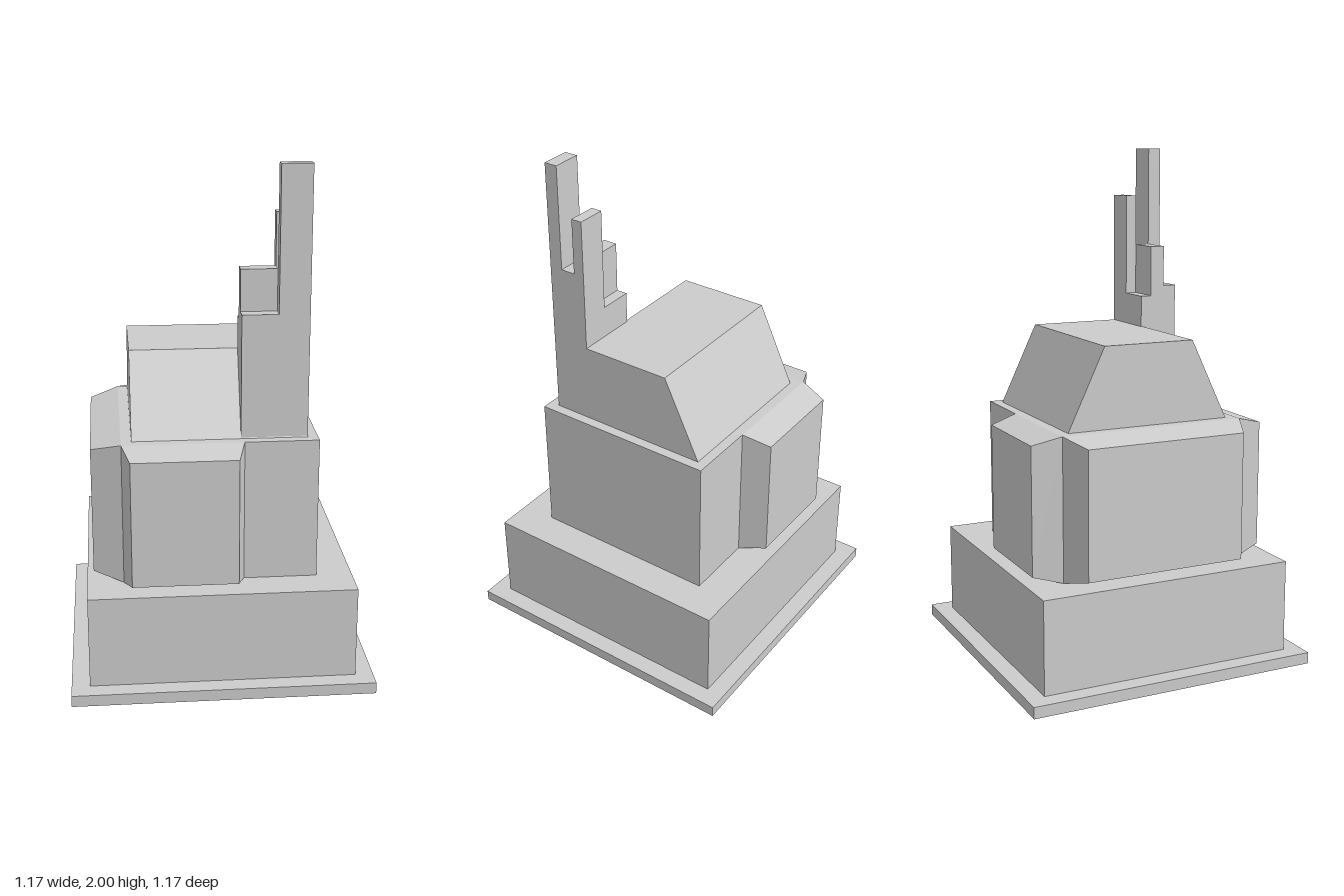
import * as THREE from 'three';

const material = new THREE.MeshStandardMaterial({ color: 0xcccccc, flatShading: true });

function add(parent, name, geometry) {
  const mesh = new THREE.Mesh(geometry, material);
  mesh.name = name;
  parent.add(mesh);
  return mesh;
}

// Box given by its minimum and maximum corners
function addBlock(parent, name, [x0, y0, z0], [x1, y1, z1]) {
  const mesh = add(parent, name, new THREE.BoxGeometry(x1 - x0, y1 - y0, z1 - z0));
  mesh.position.set((x0 + x1) / 2, (y0 + y1) / 2, (z0 + z1) / 2);
  return mesh;
}

// Box standing on z = 0 whose outer (+z) face is inset by insetX and insetY on each side
function bevelledPanel(width, height, depth, insetX, insetY) {
  const geometry = new THREE.BoxGeometry(width, height, depth).translate(0, 0, depth / 2);
  const p = geometry.attributes.position;
  for (let i = 0; i < p.count; i++) {
    if (p.getZ(i) < depth / 2) continue;
    p.setX(i, p.getX(i) - Math.sign(p.getX(i)) * insetX);
    p.setY(i, p.getY(i) - Math.sign(p.getY(i)) * insetY);
  }
  geometry.computeVertexNormals();
  return geometry;
}

export function createModel() {
  const model = new THREE.Group();
  model.name = 'steppedTower';

  // Stepped base and main storey
  addBlock(model, 'basePlate', [-0.585, 0, -0.585], [0.585, 0.045, 0.585]);
  addBlock(model, 'plinth', [-0.515, 0.045, -0.515], [0.515, 0.41, 0.515]);
  addBlock(model, 'mainStorey', [-0.375, 0.41, -0.375], [0.375, 0.97, 0.375]);

  // Projecting bays on the front, back and right walls
  for (const side of [1, -1]) {
    const bay = add(model, side > 0 ? 'frontBay' : 'backBay', bevelledPanel(0.465, 0.56, 0.112, 0.03, 0.03));
    bay.position.set(-0.142, 0.69, side * 0.375);
    if (side < 0) bay.rotation.y = Math.PI;
  }
  const sideBay = add(model, 'sideBay', bevelledPanel(0.75, 0.56, 0.115, 0.05, 0.03));
  sideBay.position.set(-0.375, 0.69, 0);
  sideBay.rotation.y = -Math.PI / 2;

  // Roof sloping to the front and back, with upright gable ends
  const roof = add(model, 'roof', bevelledPanel(0.67, 0.67, 0.315, 0, 0.15));
  roof.position.y = 0.97;
  roof.rotation.x = -Math.PI / 2;

  // Cluster of slabs rising through the front slope: [z min, z max, inner top, outer top]
  const cluster = new THREE.Group();
  cluster.name = 'spireCluster';
  model.add(cluster);
  const rows = [
    [0.28, 0.333, 1.45, 2.0],
    [0.222, 0.28, 1.61, 1.59],
    [0.178, 0.222, 1.41, 1.81],
  ];
  for (const [z0, z1, innerTop, outerTop] of rows) {
    addBlock(cluster, 'innerSlab', [0.08, 0.97, z0], [0.218, innerTop, z1]);
    addBlock(cluster, 'outerSlab', [0.218, 0.97, z0], [0.335, outerTop, z1]);
  }
  return model;
}
